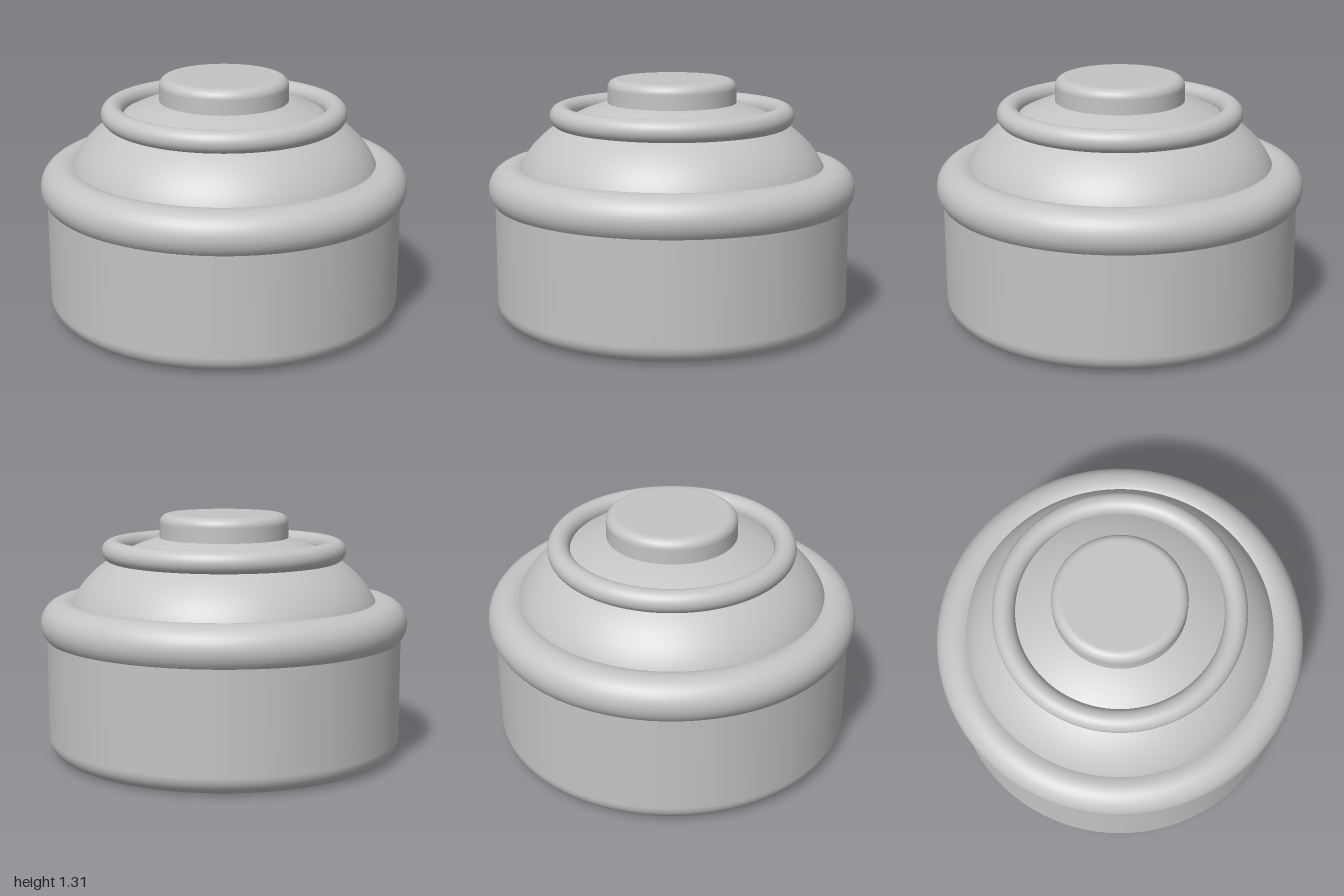
import * as THREE from 'three';

const SEGMENTS = 128;

export function createModel() {
  const model = new THREE.Group();
  const grey = new THREE.MeshStandardMaterial({ color: 0xc4c4c4 });
  grey.name = 'light grey';

  function add(name, geometry, y = 0) {
    const mesh = new THREE.Mesh(geometry, grey);
    mesh.name = name;
    mesh.position.y = y;
    model.add(mesh);
  }

  // Revolve a path running from the bottom outwards and up
  const lathe = (path) => new THREE.LatheGeometry(path, SEGMENTS);

  // Points of an elliptical arc in the (radius, height) plane
  function arc(cx, cy, rx, ry, from, to, steps) {
    return Array.from({ length: steps + 1 }, (_, i) => {
      const a = from + ((to - from) * i) / steps;
      return new THREE.Vector2(Math.max(0, cx + rx * Math.cos(a)), cy + ry * Math.sin(a));
    });
  }

  const ring = (radius, tube) =>
    new THREE.TorusGeometry(radius, tube, 32, SEGMENTS).rotateX(-Math.PI / 2);

  // Drum with a rounded bottom edge
  add('body', lathe([
    ...arc(0.867, 0.1, 0.1, 0.1, -Math.PI / 2, 0, 12),
    new THREE.Vector2(0.967, 0.7),
  ]));
  add('bodyBase', new THREE.CircleGeometry(0.867, SEGMENTS).rotateX(Math.PI / 2));

  // Thick rolled rim around the drum
  add('lowerRing', ring(0.875, 0.125), 0.725);

  // Flattened dome and the thin ring resting on it
  add('dome', lathe(arc(0, 0.71, 0.855, 0.515, 0, Math.PI / 2, 40)));
  add('upperRing', ring(0.605, 0.06), 1.112);

  // Top button with a rounded edge
  add('button', lathe([
    new THREE.Vector2(0.35, 1.12),
    ...arc(0.3, 1.26, 0.05, 0.05, 0, Math.PI / 2, 10),
  ]));
  add('buttonTop', new THREE.CircleGeometry(0.3, SEGMENTS).rotateX(-Math.PI / 2), 1.31);

  return model;
}
